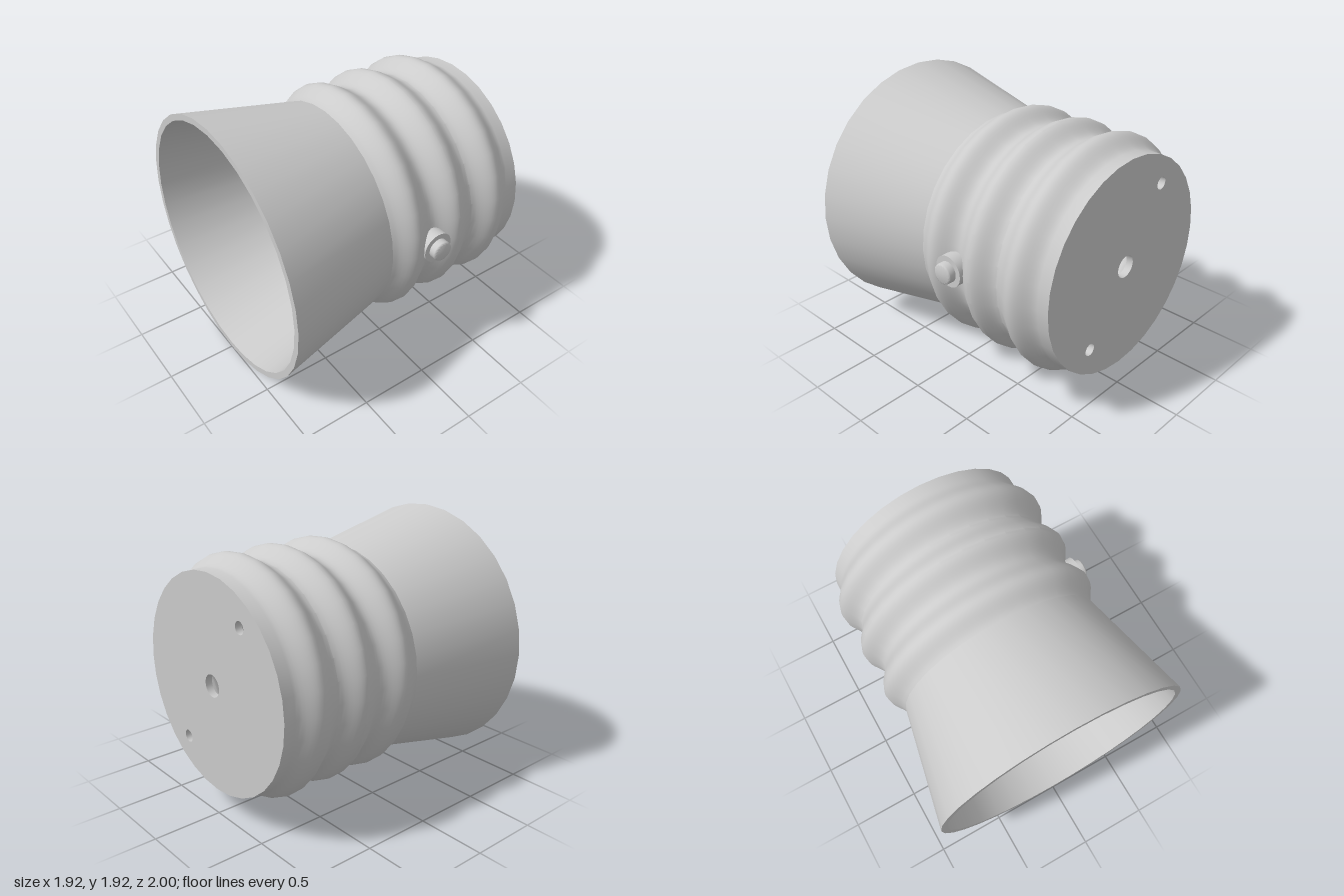
import * as THREE from 'three';
import { toCreasedNormals } from 'three/addons/utils/BufferGeometryUtils.js';

const SIDES = 32;
const AXIS_Y = 0.958;
const WALL = 0.045;

// Regular polygon outline, used for discs and their holes
function ring(PathClass, x, y, r, n) {
  const pts = [];
  for (let i = 0; i < n; i++) {
    const a = (i / n) * Math.PI * 2;
    pts.push(new THREE.Vector2(x + r * Math.cos(a), y + r * Math.sin(a)));
  }
  return new PathClass(pts);
}

// Perforated disc facing z; holes are [x, y, radius, sides]
function disc(radius, depth, holes) {
  const shape = ring(THREE.Shape, 0, 0, radius, SIDES);
  shape.holes = holes.map((h) => ring(THREE.Path, ...h));
  const geo = new THREE.ExtrudeGeometry(shape, { depth, bevelEnabled: false });
  return toCreasedNormals(geo, 0.6);
}

function lathe(points, sides, crease) {
  const pts = points.map(([r, h]) => new THREE.Vector2(r, h));
  return toCreasedNormals(new THREE.LatheGeometry(pts, sides), crease);
}

// Radius of the ridged grip at depth z
const ridge = (z) => 0.812 + 0.04 * Math.cos((2 * Math.PI * (z + 0.035)) / 0.355);

export function createModel() {
  const model = new THREE.Group();
  const material = new THREE.MeshStandardMaterial({ color: 0xcccccc, side: THREE.DoubleSide });
  const add = (name, geo, x, y, z) => {
    const mesh = new THREE.Mesh(geo, material);
    mesh.name = name;
    mesh.position.set(x, y, z);
    model.add(mesh);
    return mesh;
  };

  // Ridged grip flowing into the flared horn, as a hollow shell
  const outer = [[0.772, -1]];
  const steps = 48;
  for (let i = 0; i <= steps; i++) {
    const z = -0.915 + (1.045 * i) / steps;
    outer.push([ridge(z), z]);
  }
  outer.push([0.958, 1]);
  const inner = outer.map(([r, z]) => [r - WALL, z]).reverse();
  const shell = lathe([...outer, ...inner, outer[0]], SIDES, 0.33);
  shell.rotateX(Math.PI / 2);
  add('bodyShell', shell, 0, AXIS_Y, 0);

  // Speaker plate: round field of small holes plus two screw holes
  const holes = [[0, 0.6, 0.028, 16], [0, -0.6, 0.028, 16]];
  for (let i = -5; i <= 5; i++) {
    for (let j = -5; j <= 5; j++) {
      if (i * i + j * j <= 32) holes.push([i * 0.08, j * 0.08, 0.018, 12]);
    }
  }
  add('speakerPlate', disc(0.722, 0.04, holes), 0, 0.977, 0.12);

  // Rear wall with cable hole and two diagonal screw holes
  const rearHoles = [[0, 0, 0.08, 24], [-0.34, 0.49, 0.045, 16], [0.34, -0.49, 0.045, 16]];
  add('rearWall', disc(0.765, 0.05, rearHoles), 0, AXIS_Y, -1);

  // Push button on the left side
  const collar = lathe([[0, 0], [0.113, 0], [0.113, 0.085], [0, 0.085]], 32, 0.5);
  const cap = lathe(
    [[0, 0], [0.074, 0], [0.074, 0.045], [0.071, 0.053], [0.063, 0.057], [0, 0.057]],
    32, 0.9
  );
  add('buttonCollar', collar, 0.76, 0.96, -0.2).rotation.z = -Math.PI / 2;
  add('buttonCap', cap, 0.843, 0.96, -0.2).rotation.z = -Math.PI / 2;

  return model;
}
